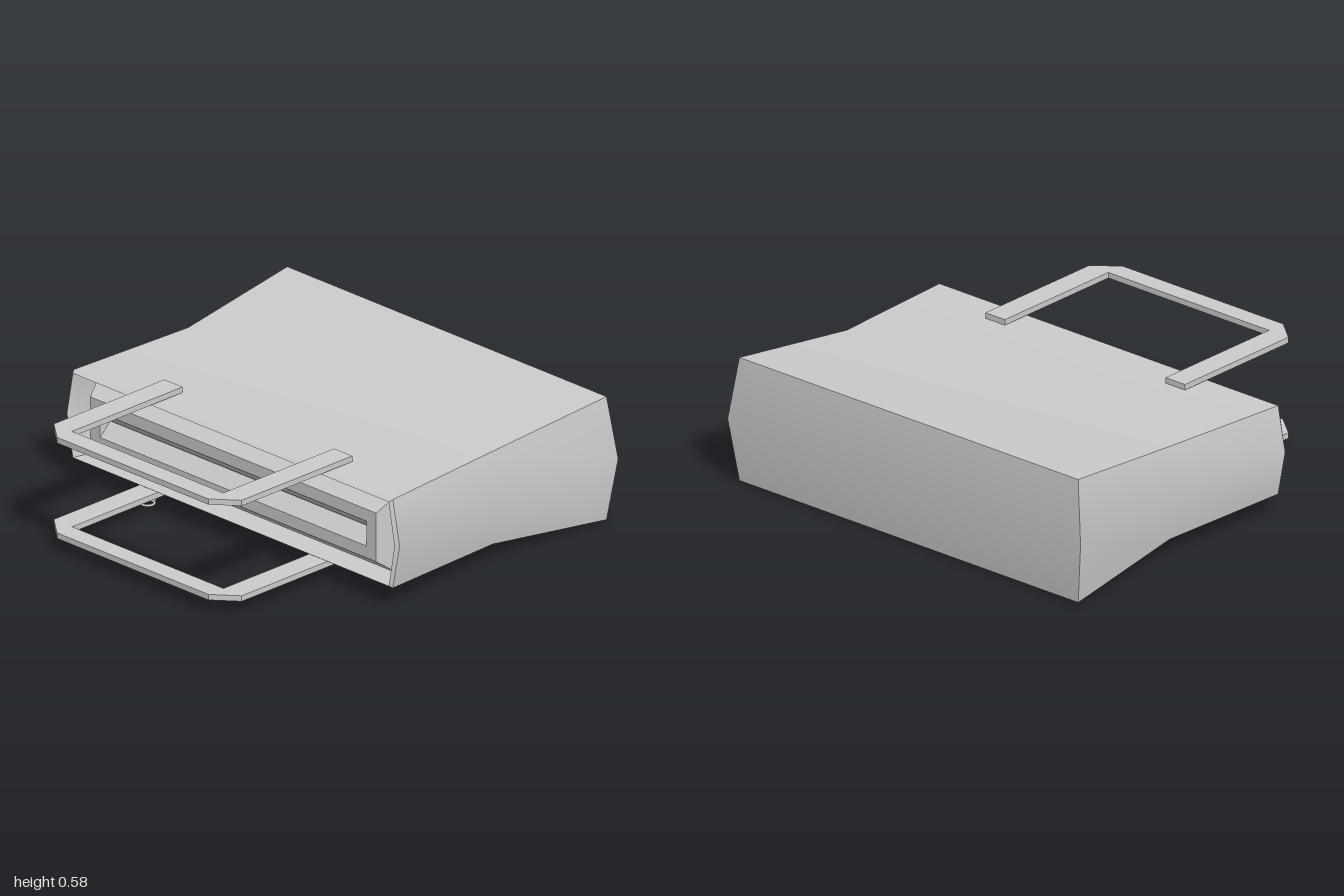
import * as THREE from 'three';
import { toCreasedNormals } from 'three/addons/utils/BufferGeometryUtils.js';

const material = new THREE.MeshStandardMaterial({ color: 0xcccccc, side: THREE.DoubleSide });

function addMesh(parent, name, geometry) {
  const mesh = new THREE.Mesh(geometry, material);
  mesh.name = name;
  parent.add(mesh);
  return mesh;
}

// Skin a list of rings (each counter-clockwise seen from +z), with optional caps
function loft(rings, capStart, capEnd) {
  const pos = [];
  const tri = (a, b, c) => pos.push(...a, ...b, ...c);
  const n = rings[0].length;
  for (let r = 0; r + 1 < rings.length; r++) {
    const a = rings[r], b = rings[r + 1];
    for (let i = 0; i < n; i++) {
      const j = (i + 1) % n;
      tri(a[i], a[j], b[j]);
      tri(a[i], b[j], b[i]);
    }
  }
  const first = rings[0], last = rings[rings.length - 1];
  for (let i = 1; i + 1 < n; i++) {
    if (capStart) tri(first[0], first[i + 1], first[i]);
    if (capEnd) tri(last[0], last[i], last[i + 1]);
  }
  const g = new THREE.BufferGeometry();
  g.setAttribute('position', new THREE.Float32BufferAttribute(pos, 3));
  return toCreasedNormals(g, 0.5);
}

// Six-sided section whose short sides bulge out at mid height
function section(cornerX, midX, y0, y1, z, midZ = z) {
  const m = (y0 + y1) / 2;
  return [[midX, m, midZ], [cornerX, y1, z], [-cornerX, y1, z],
    [-midX, m, midZ], [-cornerX, y0, z], [cornerX, y0, z]];
}

function rect(x, y0, y1, z) {
  return [[x, y0, z], [x, y1, z], [-x, y1, z], [-x, y0, z]];
}

// Flat strap: two legs, a cross bar and clipped outer corners
function handleGeometry() {
  const s = new THREE.Shape([
    [0.565, 0.2], [0.565, 0.86], [0.455, 0.95], [-0.455, 0.95], [-0.565, 0.86], [-0.565, 0.2],
    [-0.455, 0.2], [-0.455, 0.86], [0.455, 0.86], [0.455, 0.2],
  ].map(([x, z]) => new THREE.Vector2(x, z)));
  const g = new THREE.ExtrudeGeometry(s, { depth: 0.026, bevelEnabled: false });
  g.rotateX(Math.PI / 2);
  return g;
}

function strand(points, radius) {
  const curve = new THREE.CatmullRomCurve3(points.map((p) => new THREE.Vector3(...p)));
  return new THREE.TubeGeometry(curve, 20, radius, 6);
}

export function createModel() {
  const model = new THREE.Group();
  model.name = 'handbag';

  // Body lying on its face, waisted in the middle, with a recessed mouth
  addMesh(model, 'body', loft([
    section(0.96, 1.0, 0.01, 0.58, -0.925, -0.955),
    section(0.915, 0.95, 0.08, 0.51, -0.29),
    section(0.96, 1.0, 0.09, 0.5, 0.35),
    section(0.95, 0.985, 0.1, 0.49, 0.365),
    section(0.92, 0.95, 0.1, 0.487, 0.24),
  ], true, true));

  // Raised closure in the mouth, with a long V-shaped groove
  addMesh(model, 'closure', loft([
    rect(0.9, 0.1, 0.485, 0.242),
    rect(0.86, 0.18, 0.405, 0.35),
    rect(0.8, 0.235, 0.35, 0.35),
    rect(0.8, 0.294, 0.295, 0.29),
  ], false, false));

  // Handles on both faces
  for (const [name, y] of [['upperHandle', 0.531], ['lowerHandle', 0.089]]) {
    addMesh(model, name, handleGeometry()).position.y = y;
  }

  // Hanging charm on the underside: ring, beaded chain, pendant and strands
  const charm = new THREE.Group();
  charm.name = 'charm';
  model.add(charm);
  const ring = addMesh(charm, 'charmRing', new THREE.TorusGeometry(0.03, 0.006, 6, 20));
  ring.rotation.x = Math.PI / 2;
  ring.position.set(-0.5, 0.032, 0.365);
  for (let i = 0; i < 4; i++) {
    const bead = addMesh(charm, 'charmBead', new THREE.SphereGeometry(0.011, 10, 8));
    bead.position.set(-0.508 - i * 0.012, 0.032, 0.32 - i * 0.035);
  }
  addMesh(charm, 'charmCord', strand([[-0.5, 0.032, 0.335], [-0.54, 0.032, 0.22], [-0.56, 0.035, 0.1]], 0.005));
  const pendant = addMesh(charm, 'charmPendant', new THREE.SphereGeometry(1, 20, 12));
  pendant.scale.set(0.075, 0.017, 0.075);
  pendant.position.set(-0.56, 0.052, 0.105);
  pendant.rotation.z = 0.15;
  const strands = [
    [[-0.56, 0.045, 0.1], [-0.62, 0.035, 0.0], [-0.67, 0.02, -0.08], [-0.74, 0.009, -0.19]],
    [[-0.56, 0.045, 0.1], [-0.66, 0.035, 0.08], [-0.72, 0.025, 0.01], [-0.8, 0.015, 0.0]],
    [[-0.56, 0.04, 0.1], [-0.53, 0.035, 0.02], [-0.48, 0.03, -0.03], [-0.43, 0.028, 0.02]],
    [[-0.56, 0.035, 0.1], [-0.48, 0.03, 0.13], [-0.41, 0.028, 0.1], [-0.34, 0.028, 0.14]],
    [[-0.56, 0.04, 0.1], [-0.6, 0.035, 0.0], [-0.57, 0.025, -0.08], [-0.63, 0.012, -0.15]],
  ];
  for (const points of strands) addMesh(charm, 'charmStrand', strand(points, 0.007));

  return model;
}
